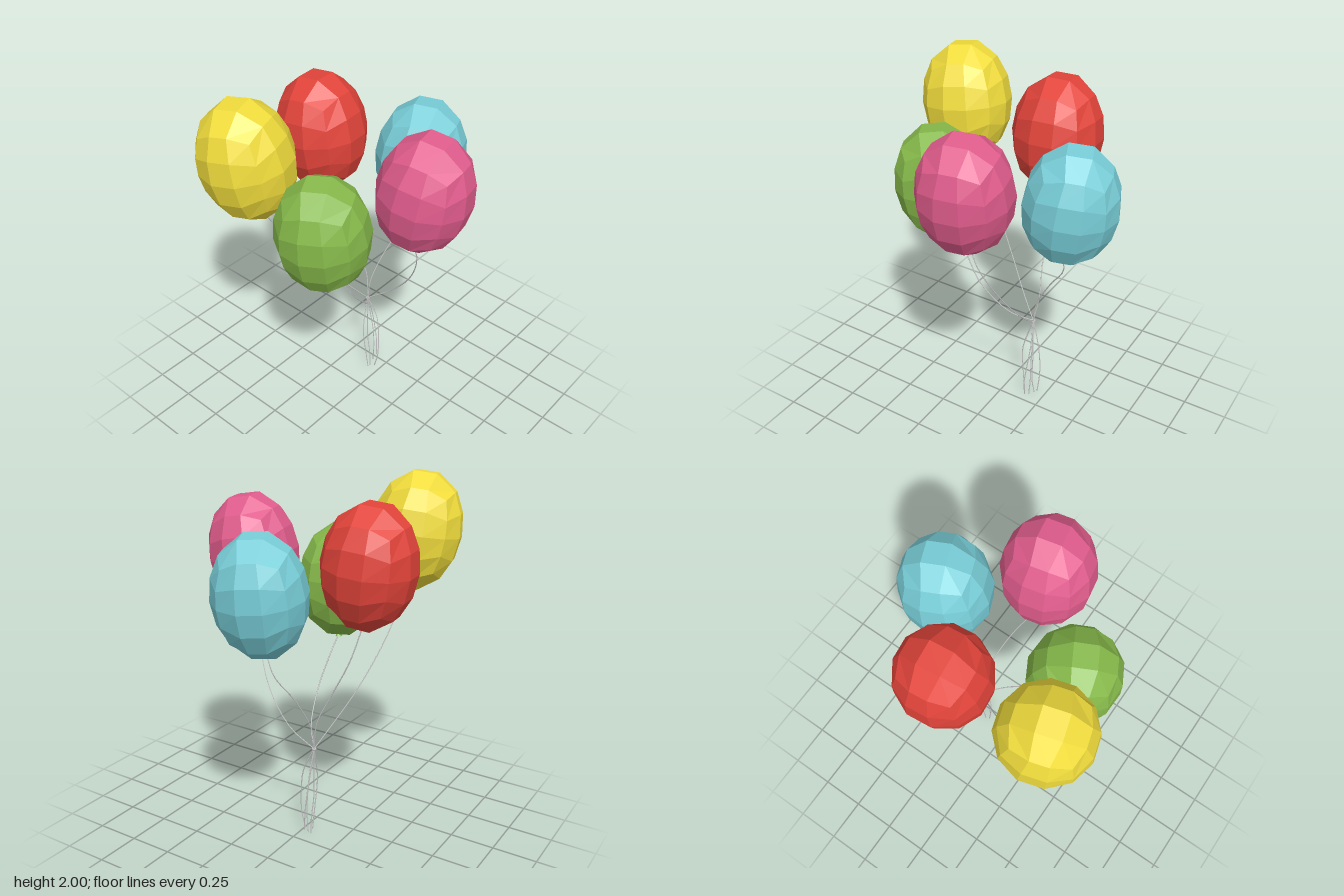
import * as THREE from 'three';

const V = (a) => new THREE.Vector3(...a);
const TIE = [-0.09, 0.55, -0.17];

// colour, centre, outward lean (x, z), yaw, string points between the tie and the balloon
const BALLOONS = [
  { name: 'yellow', color: 0xf0dc3c, at: [-0.36, 1.685, 0.44], lean: [-0.09, 0.12], yaw: 0.3,
    mid: [[-0.14, 0.66, -0.08], [-0.22, 0.84, 0.05], [-0.3, 1.1, 0.22]] },
  { name: 'green', color: 0x86b94a, at: [0.05, 1.375, 0.345], lean: [0.02, 0.12], yaw: 0.5,
    mid: [[0.0, 0.63, -0.06], [0.05, 0.8, 0.1], [0.035, 1.0, 0.23]] },
  { name: 'pink', color: 0xe05c8c, at: [0.38, 1.565, -0.04], lean: [0.15, -0.05], yaw: 0.2,
    mid: [[0.05, 0.66, -0.2], [0.22, 0.87, -0.16], [0.33, 1.12, -0.07]] },
  { name: 'blue', color: 0x78cdd7, at: [0.05, 1.465, -0.445], lean: [0.02, -0.12], yaw: 0.4,
    mid: [[-0.085, 0.68, -0.19], [-0.05, 0.87, -0.29], [0.01, 1.04, -0.4]] },
  { name: 'red', color: 0xe2443a, at: [-0.385, 1.605, -0.125], lean: [-0.1, 0], yaw: 0.1,
    mid: [[-0.12, 0.72, -0.19], [-0.2, 0.9, -0.16], [-0.3, 1.1, -0.155]] },
];

// loose string ends below the tie
const TAILS = [
  [[-0.085, 0.45, -0.14], [-0.075, 0.33, -0.112], [-0.065, 0.15, -0.125], [-0.06, 0.02, -0.14]],
  [[-0.09, 0.42, -0.17], [-0.085, 0.25, -0.165], [-0.07, 0.1, -0.17], [-0.065, 0.004, -0.165]],
  [[-0.075, 0.42, -0.18], [-0.06, 0.28, -0.19], [-0.055, 0.14, -0.19], [-0.07, 0.03, -0.2]],
  [[-0.035, 0.42, -0.19], [-0.01, 0.27, -0.18], [-0.003, 0.13, -0.165], [-0.025, 0.03, -0.16]],
  [[-0.085, 0.44, -0.2], [-0.08, 0.3, -0.225], [-0.07, 0.18, -0.233], [-0.06, 0.06, -0.225]],
];

// box pushed out to a faceted ellipsoid, with an edge loop round the middle
function bodyGeometry() {
  const geo = new THREE.BoxGeometry(2, 2, 2, 3, 4, 3);
  const pos = geo.attributes.position;
  const p = new THREE.Vector3();
  const warp = (u) => Math.tan((u * Math.PI) / 4);
  for (let i = 0; i < pos.count; i++) {
    p.fromBufferAttribute(pos, i);
    p.set(warp(p.x), warp(p.y), warp(p.z)).normalize();
    pos.setXYZ(i, p.x * 0.25, p.y * 0.335, p.z * 0.25);
  }
  return geo;
}

function string(points, material, name) {
  const curve = new THREE.CatmullRomCurve3(points);
  const mesh = new THREE.Mesh(new THREE.TubeGeometry(curve, 14, 0.0035, 4, false), material);
  mesh.name = name;
  return mesh;
}

export function createModel() {
  const model = new THREE.Group();
  model.name = 'balloonBunch';
  const stringMaterial = new THREE.MeshStandardMaterial({ color: 0xcccccc });
  const body = bodyGeometry();
  const neck = new THREE.ConeGeometry(0.02, 0.035, 6);

  for (const b of BALLOONS) {
    const material = new THREE.MeshStandardMaterial({ color: b.color, flatShading: true });
    const balloon = new THREE.Group();
    balloon.name = b.name + 'Balloon';
    balloon.position.set(...b.at);

    // lean away from the middle of the bunch
    const axis = new THREE.Vector3(b.lean[0], 1, b.lean[1]).normalize();
    balloon.quaternion.setFromUnitVectors(new THREE.Vector3(0, 1, 0), axis);

    const skin = new THREE.Mesh(body, material);
    skin.name = 'balloonBody';
    skin.rotation.y = b.yaw;
    const knot = new THREE.Mesh(neck, material);
    knot.name = 'balloonKnot';
    knot.position.y = -0.318;
    balloon.add(skin, knot);
    model.add(balloon);

    const end = V(b.at).addScaledVector(axis, -0.32);
    model.add(string([V(TIE), ...b.mid.map(V), end], stringMaterial, b.name + 'String'));
  }

  TAILS.forEach((tail) => model.add(string([V(TIE), ...tail.map(V)], stringMaterial, 'stringTail')));

  // loop that ties the strings together
  const tie = new THREE.Mesh(new THREE.TorusGeometry(0.009, 0.005, 5, 8), stringMaterial);
  tie.name = 'stringTie';
  tie.rotation.x = Math.PI / 2;
  tie.position.set(...TIE);
  model.add(tie);

  return model;
}
